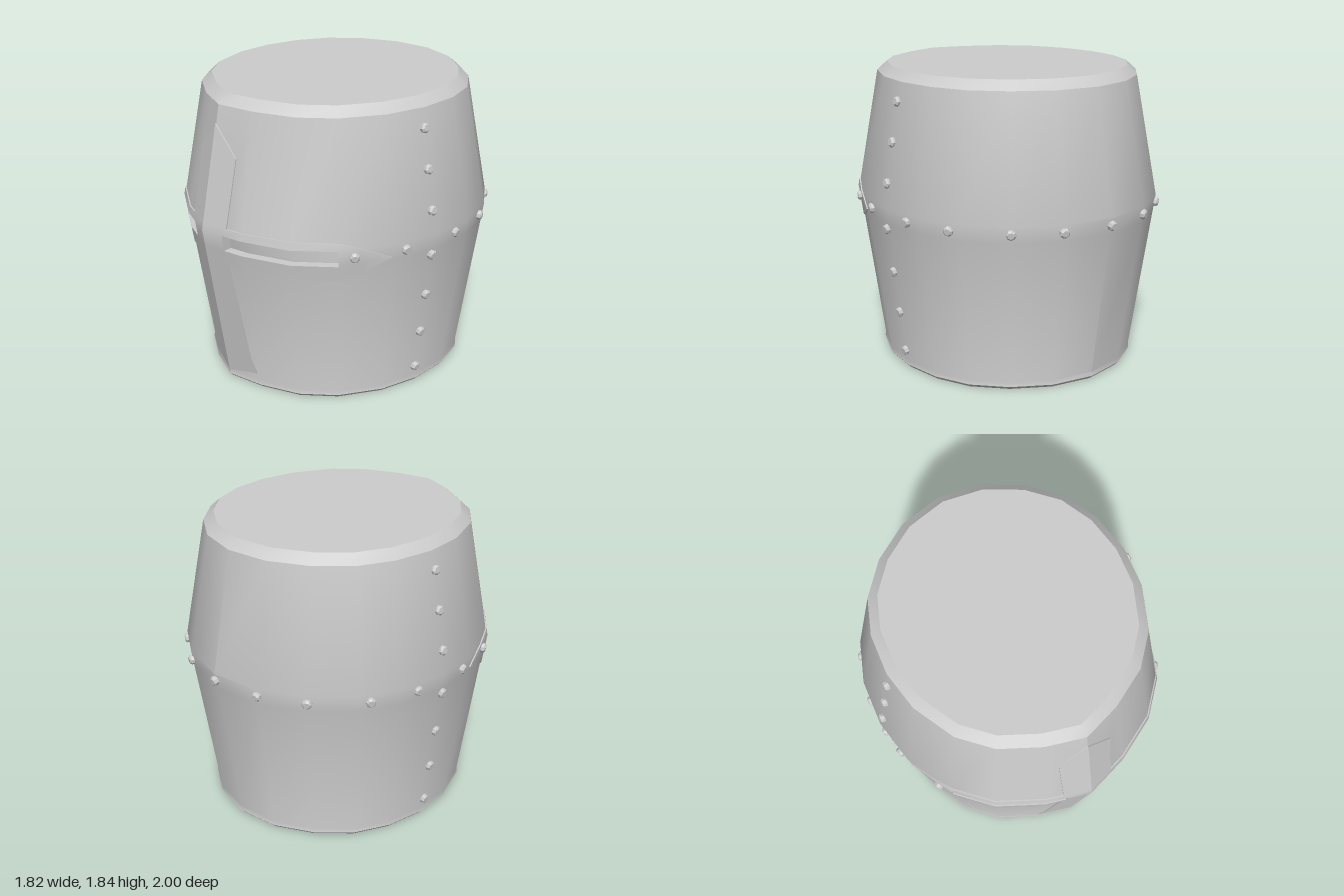
import * as THREE from 'three';
import { toCreasedNormals } from 'three/addons/utils/BufferGeometryUtils.js';

// Half of the widest horizontal section, front ridge to back: [x, z]
const HALF = [[0, 0.99], [0.14, 0.949], [0.27, 0.91], [0.54, 0.77], [0.73, 0.57], [0.865, 0.27],
  [0.905, -0.02], [0.87, -0.31], [0.765, -0.56], [0.57, -0.77], [0.31, -0.925], [0, -0.985]];
const RING = [...HALF, ...HALF.slice(1, -1).reverse().map(([x, z]) => [-x, z])];

// Vertical profile: [height, section scale]
const PROFILE = [[0, 0.835], [0.02, 0.855], [0.045, 0.85], [0.945, 0.985], [1.045, 1], [1.78, 0.855], [1.835, 0.79]];

function lookup(table, v) {
  let i = 1;
  while (i < table.length - 1 && table[i][0] < v) i++;
  const [a, b] = [table[i - 1], table[i]];
  return a[1] + (b[1] - a[1]) * (v - a[0]) / (b[0] - a[0]);
}
const scaleAt = (y) => lookup(PROFILE, y);
const frontZ = (x) => lookup(HALF.slice(0, 6), Math.abs(x));

// Turns outer faces (index loops) into a closed shell: outer, inner and walls along every open edge
function thicken(outer, inner, faces) {
  const pos = [];
  const tri = (a, b, c) => pos.push(...a, ...b, ...c);
  const edges = new Set();
  for (const f of faces) {
    for (let i = 1; i < f.length - 1; i++) {
      tri(outer[f[0]], outer[f[i]], outer[f[i + 1]]);
      tri(inner[f[0]], inner[f[i + 1]], inner[f[i]]);
    }
    f.forEach((v, i) => edges.add(v + '_' + f[(i + 1) % f.length]));
  }
  for (const e of edges) {
    const [a, b] = e.split('_').map(Number);
    if (edges.has(b + '_' + a)) continue;
    tri(outer[b], outer[a], inner[a]);
    tri(outer[b], inner[a], inner[b]);
  }
  const geo = new THREE.BufferGeometry();
  geo.setAttribute('position', new THREE.Float32BufferAttribute(pos, 3));
  return toCreasedNormals(geo, THREE.MathUtils.degToRad(28));
}

// Helmet wall with two eye slots and a flat crown
function shellGeometry() {
  const n = RING.length;
  const outer = [], inner = [], faces = [];
  PROFILE.forEach(([y, s], r) => RING.forEach(([x, z], c) => {
    outer.push([x * s, y, z * s]);
    inner.push([x * s * 0.95, y > 1.8 ? y - 0.04 : y, z * s * 0.95]);
    if (r === PROFILE.length - 1) return;
    const slot = r === 3 && ((c >= 1 && c <= 3) || (c >= n - 4 && c <= n - 2));
    const d = (c + 1) % n;
    if (!slot) faces.push([r * n + c, r * n + d, (r + 1) * n + d, (r + 1) * n + c]);
  }));
  const top = outer.length, base = top - n;
  outer.push([0, 1.835, 0]);
  inner.push([0, 1.795, 0]);
  for (let c = 0; c < n; c++) faces.push([base + c, base + (c + 1) % n, top]);
  return thicken(outer, inner, faces);
}

// Thin plate lying on the front: rows of [section x, height], bottom row first
function plateGeometry(rows, isHole = () => false) {
  const n = rows[0].length;
  const at = (k) => rows.flat().map(([x, y]) => {
    const s = scaleAt(y) * k;
    return [x * s, y, frontZ(x) * s];
  });
  const faces = [];
  for (let r = 0; r < rows.length - 1; r++) {
    for (let c = 0; c < n - 1; c++) {
      if (isHole(c, r)) continue;
      faces.push([r * n + c, r * n + c + 1, (r + 1) * n + c + 1, (r + 1) * n + c]);
    }
  }
  return thicken(at(1.008), at(0.998), faces);
}

// Completes a right half row with its mirror image
const mirrorRow = (half) => [...half.slice(1).reverse().map(([x, y]) => [-x, y]), ...half];

export function createModel() {
  const group = new THREE.Group();
  const metal = new THREE.MeshStandardMaterial({ color: 0xcccccc });
  const rivetMetal = new THREE.MeshStandardMaterial({ color: 0xcccccc, flatShading: true });
  const add = (name, geo, mat = metal) => {
    const mesh = new THREE.Mesh(geo, mat);
    mesh.name = name;
    group.add(mesh);
    return mesh;
  };

  add('helmetShell', shellGeometry());

  // Cross-shaped reinforcement: pointed upright above and below, pointed band around the slots
  add('upperFrontPlate', plateGeometry([
    mirrorRow([[0, 1.09], [0.165, 1.09]]),
    mirrorRow([[0, 1.67], [0.185, 1.5]]),
  ]));
  add('lowerFrontPlate', plateGeometry([
    mirrorRow([[0, 0.05], [0.26, 0.1]]),
    mirrorRow([[0, 0.2], [0.22, 0.2]]),
    mirrorRow([[0, 0.85], [0.165, 0.85]]),
  ]));
  const bandRows = [[0.85, 0.89], [0.945, 0.955], [1.045, 1.045], [1.09, 1.046]].map(([y, yEnd]) => mirrorRow([
    ...[0, 0.14, 0.27, 0.54, 0.73].map((x) => [x, y]), [0.785, yEnd], [0.86, 0.97]]));
  add('eyeBand', plateGeometry(bandRows, (c, r) => r === 1 && ((c >= 2 && c <= 4) || (c >= 7 && c <= 9))));

  // Rivets: a column down each side and a row around the widest part
  const rivetGeo = new THREE.LatheGeometry(
    [[0.03, -0.015], [0.03, 0.014], [0.02, 0.024], [0, 0.024]].map(([x, y]) => new THREE.Vector2(x, y)), 8);
  const up = new THREE.Vector3(0, 1, 0);
  const addRivet = (name, x, y, z) => {
    const s = scaleAt(y);
    const rivet = add(name, rivetGeo, rivetMetal);
    rivet.position.set(x * s, y, z * s);
    const normal = new THREE.Vector3(x, 0, z).normalize().setY(y > 1.045 ? 0.18 : -0.14).normalize();
    rivet.quaternion.setFromUnitVectors(up, normal);
  };
  for (const side of [-1, 1]) {
    for (const y of [0.115, 0.375, 0.64, 0.915, 1.19, 1.43, 1.665]) addRivet('sideRivet', side * 0.902, y, 0);
    for (const [x, z] of [[0.775, 0.49], [0.877, 0.19], [0.883, -0.195], [0.797, -0.49], [0.57, -0.77], [0.31, -0.925]]) {
      addRivet('bandRivet', side * x, 1, z);
    }
  }
  addRivet('backRivet', 0, 1, -0.985);
  return group;
}
